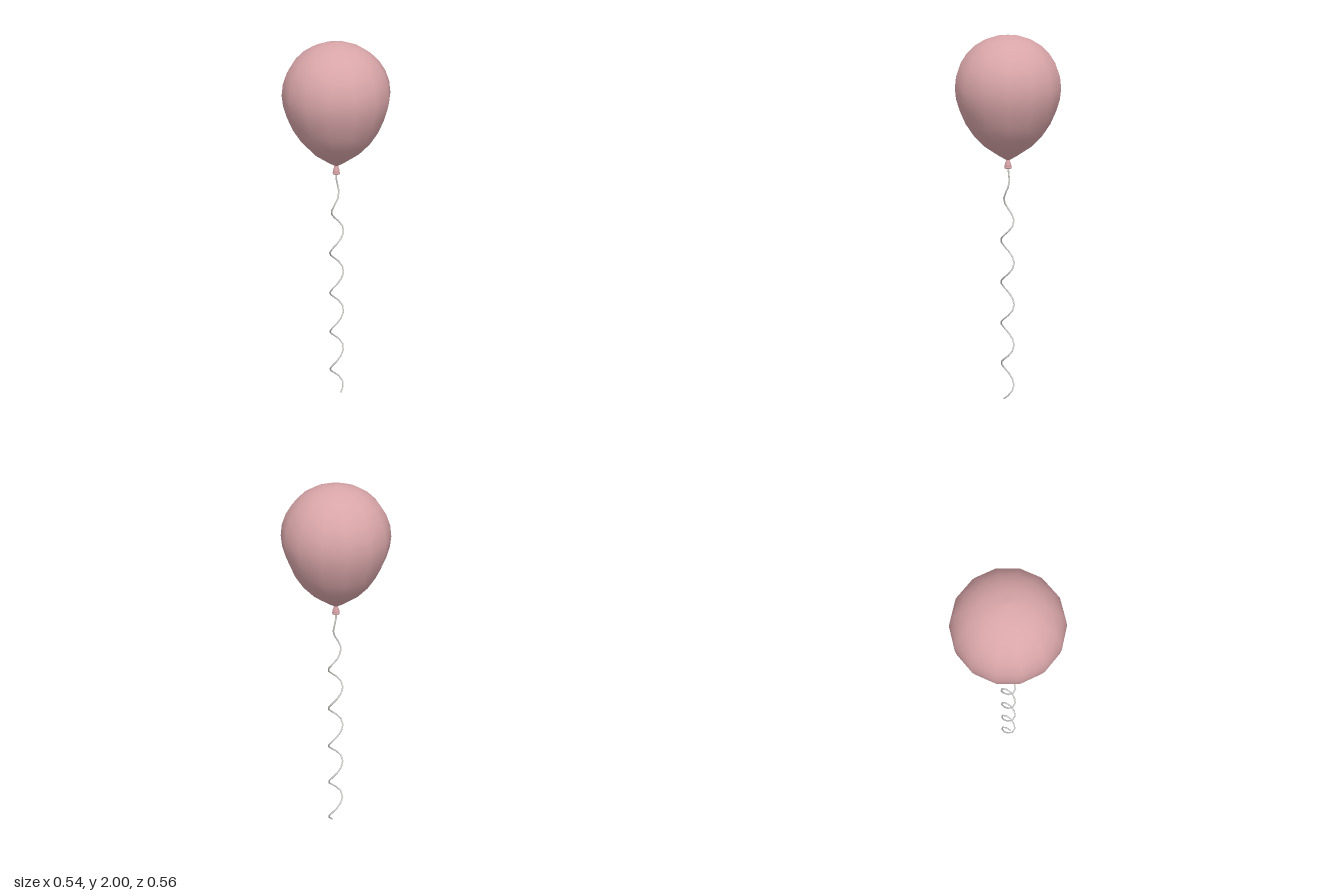
import * as THREE from 'three';

const SIDES = 14;

// Smooth solid of revolution from [radius, height] pairs, listed bottom to top
function lathe(name, pairs, material, sides) {
  const points = pairs.map(([r, y]) => new THREE.Vector2(r, y));
  const mesh = new THREE.Mesh(new THREE.LatheGeometry(points, sides), material);
  mesh.name = name;
  return mesh;
}

export function createModel() {
  const pink = new THREE.MeshStandardMaterial({ color: 0xd8a5a8 });
  pink.name = 'dusty pink rubber';
  const pale = new THREE.MeshStandardMaterial({ color: 0xd2d0ce });
  pale.name = 'pale string';

  const group = new THREE.Group();
  group.name = 'balloon';

  // Balloon body: tapered below the widest ring, near-spherical dome above
  const waist = 1.735, radius = 0.278, dome = 0.265;
  const profile = [[0.008, 1.35], [0.05, 1.375], [0.123, 1.425], [0.181, 1.485],
    [0.224, 1.55], [0.255, 1.622], [0.272, 1.68]];
  const rows = 7;
  for (let i = 0; i < rows; i++) {
    const a = (i / rows) * Math.PI / 2;
    profile.push([radius * Math.cos(a), waist + dome * Math.sin(a)]);
  }
  profile.push([0.004, 2], [0, 2]); // tiny flat cap keeps the crown smooth
  group.add(lathe('balloonBody', profile, pink, SIDES));

  // Knot: narrow neck flaring into a rolled lip
  group.add(lathe('knot', [[0, 1.309], [0.016, 1.309], [0.018, 1.318],
    [0.017, 1.328], [0.012, 1.342], [0.009, 1.358]], pink, SIDES));
  const lip = new THREE.Mesh(new THREE.TorusGeometry(0.015, 0.006, 6, SIDES), pink);
  lip.name = 'knotLip';
  lip.rotation.x = Math.PI / 2;
  lip.position.y = 1.311;
  group.add(lip);

  // String: a slightly flattened helix that straightens out towards the knot
  const top = 1.315, steps = 96, points = [];
  for (let i = 0; i <= steps; i++) {
    const y = 0.003 + (top - 0.003) * i / steps;
    const fade = Math.min(1, (top - y) / 0.3);
    const a = (y / 0.2355) * Math.PI * 2;
    points.push(new THREE.Vector3(0.045 * fade * Math.sin(a), y,
      fade * (0.003 + 0.028 * Math.cos(a))));
  }
  const path = new THREE.CatmullRomCurve3(points);
  const string = new THREE.Mesh(new THREE.TubeGeometry(path, 48, 0.0045, 5), pale);
  string.name = 'string';
  group.add(string);

  return group;
}
